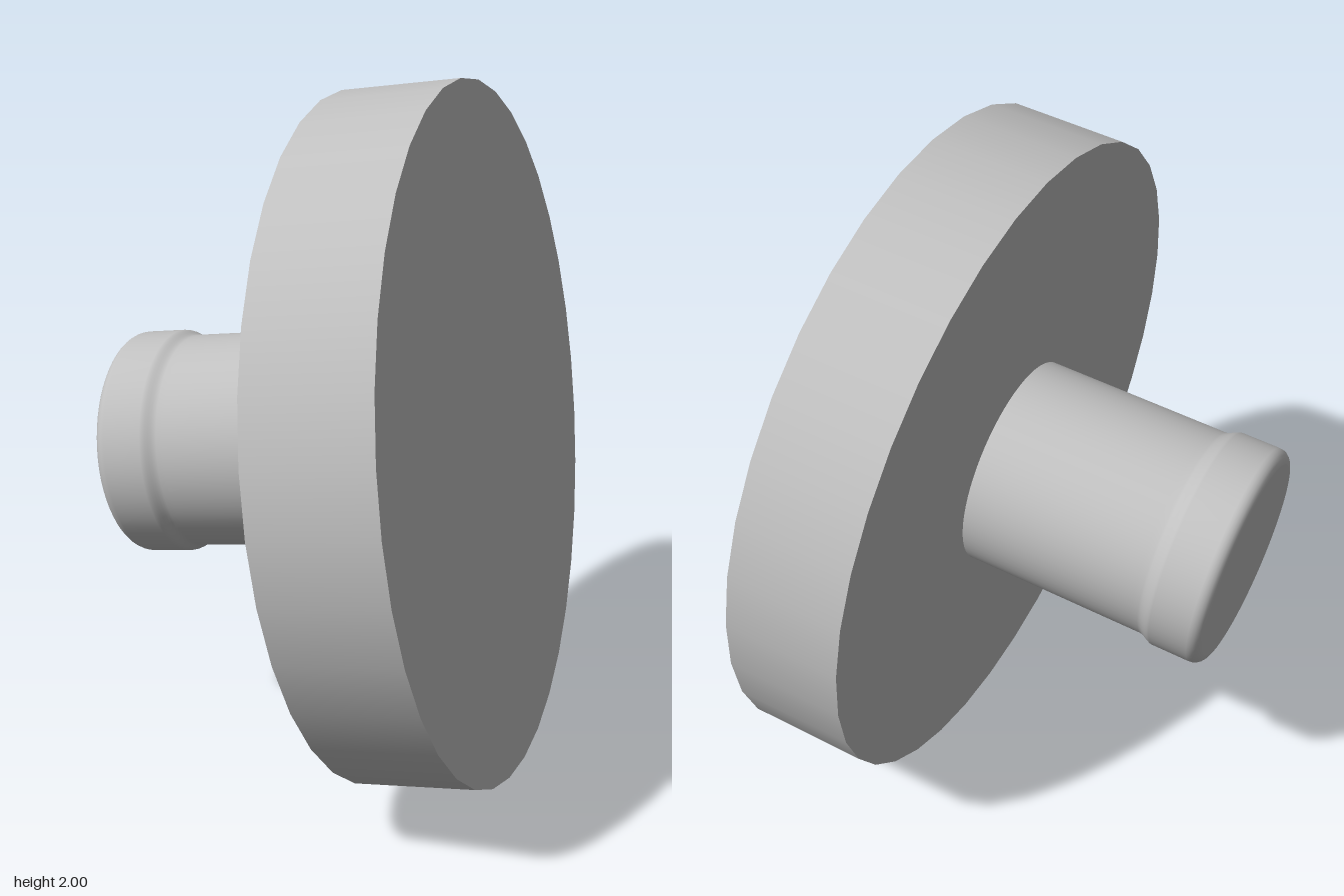
import * as THREE from 'three';

export function createModel() {
  const model = new THREE.Group();
  const grey = new THREE.MeshStandardMaterial({ color: 0xc0c0c0 });
  grey.name = 'light grey';

  // Tilted knob: local +y runs from the stem towards the disc, origin at the disc's inner face
  const knob = new THREE.Group();
  knob.name = 'knob';
  knob.position.set(0.139, 0.977, 0.023);
  const axis = new THREE.Vector3(0.981, 0.136, -0.136).normalize();
  knob.quaternion.setFromUnitVectors(new THREE.Vector3(0, 1, 0), axis);
  model.add(knob);

  const add = (name, geometry, y = 0) => {
    const mesh = new THREE.Mesh(geometry, grey);
    mesh.name = name;
    mesh.position.y = y;
    knob.add(mesh);
  };

  // Wide disc
  const thickness = 0.343, radius = 0.986, sides = 36;
  add('disc', new THREE.CylinderGeometry(radius, radius, thickness, sides, 1, false, Math.PI / sides), thickness / 2);

  // Stem profile: rounded end, collar, soft step, straight shaft
  const end = -0.755, collar = 0.332, shaft = 0.315, fillet = 0.035;
  const profile = [];
  for (let i = 0; i <= 6; i++) {
    const a = (i / 6) * Math.PI / 2;
    profile.push(new THREE.Vector2(collar - fillet + fillet * Math.sin(a), end + fillet - fillet * Math.cos(a)));
  }
  for (let i = 0; i <= 6; i++) {
    const t = i / 6;
    const step = t * t * (3 - 2 * t);
    profile.push(new THREE.Vector2(collar + (shaft - collar) * step, -0.605 + 0.045 * t));
  }
  profile.push(new THREE.Vector2(shaft, -0.54), new THREE.Vector2(shaft, 0));
  add('stem', new THREE.LatheGeometry(profile, 64));

  // Flat end of the stem
  add('stemEnd', new THREE.CircleGeometry(collar - fillet, 64).rotateX(Math.PI / 2), end);

  return model;
}
